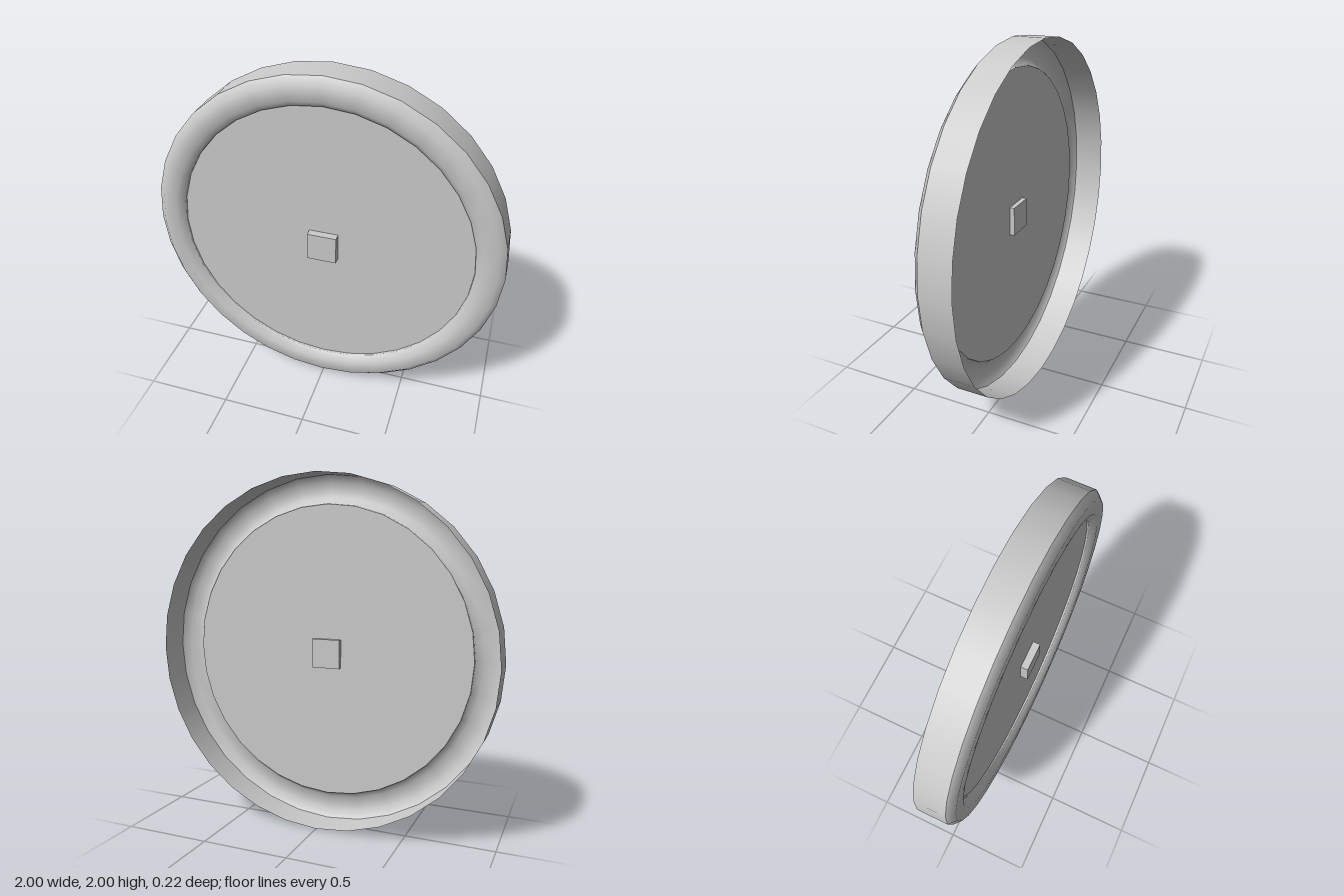
import * as THREE from 'three';

const SIDES = 32;

export function createModel() {
  const model = new THREE.Group();
  const material = new THREE.MeshStandardMaterial({ color: 0xcccccc, side: THREE.DoubleSide });

  const add = (name, geometry, z = 0) => {
    const mesh = new THREE.Mesh(geometry, material);
    mesh.name = name;
    mesh.position.set(0, 1, z);
    model.add(mesh);
  };

  // Surface turned about the z axis from [radius, z] points
  const turned = (points) =>
    new THREE.LatheGeometry(points.map(([r, z]) => new THREE.Vector2(r, z)), SIDES).rotateX(Math.PI / 2);

  // Open-backed shell: straight outer wall, then a rounded front rim
  add('outerWall', turned([[1, -0.108], [1, 0.07]]));
  add('frontRim', turned([[1, 0.07], [0.96, 0.108], [0.88, 0.108], [0.842, 0.07]]));
  // Short lip stepping back to the face
  add('innerLip', turned([[0.842, 0.07], [0.84, 0.06]]));

  // Flat face closing the ring
  add('face', new THREE.CircleGeometry(0.84, SIDES), 0.06);

  // Square hub passing through the face
  add('hub', new THREE.BoxGeometry(0.166, 0.166, 0.07), 0.068);

  return model;
}
